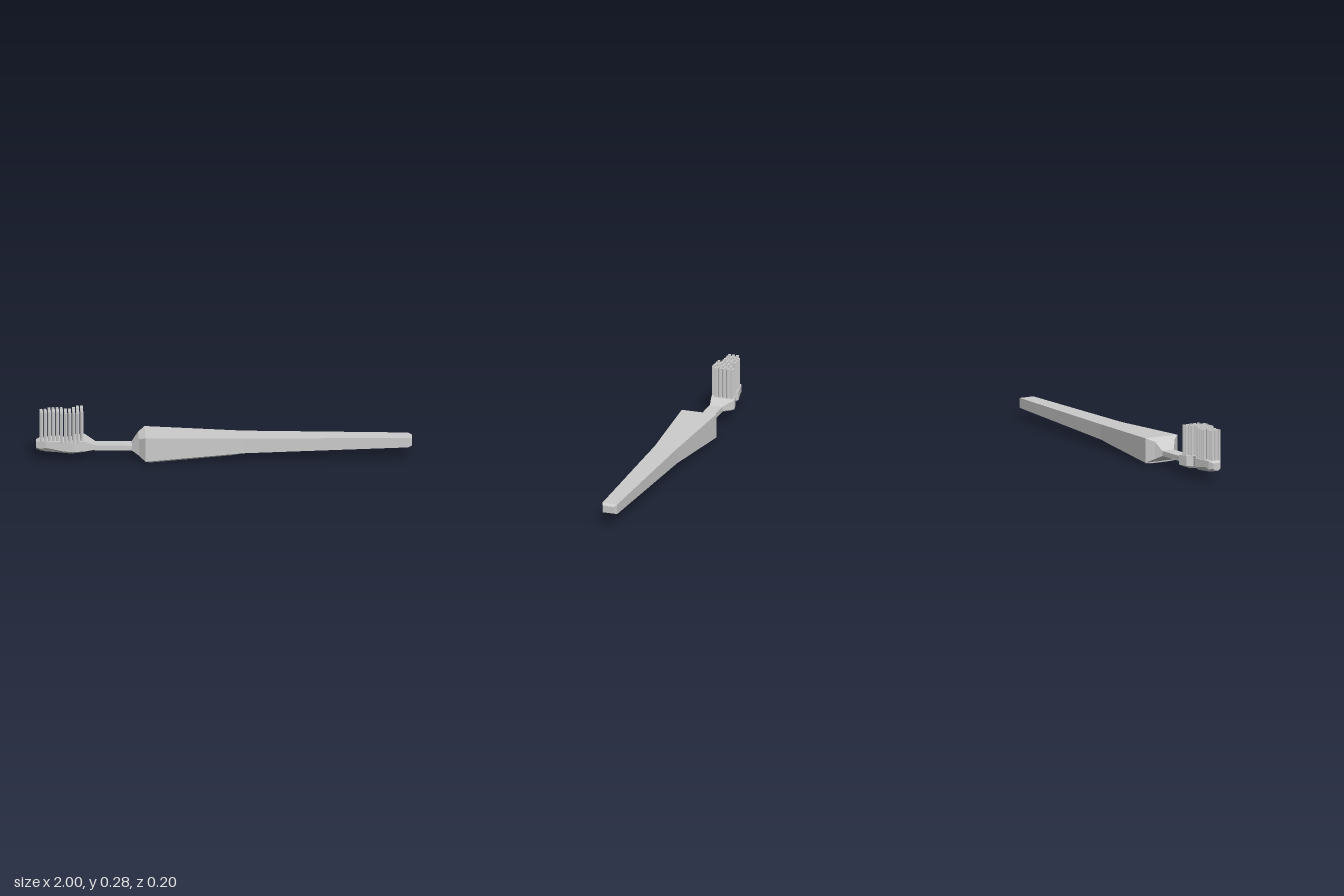
import * as THREE from 'three';

const material = new THREE.MeshStandardMaterial({ color: 0xcccccc, flatShading: true });

// Skins cross-sections placed along x; each is { x, ring: [[y, z], ...] } and both ends are capped.
function loft(name, sections) {
  const pos = [];
  const point = (s, j) => {
    const [y, z] = s.ring[j % s.ring.length];
    return [s.x, y, z];
  };
  const tri = (a, b, c) => pos.push(...a, ...b, ...c);
  const n = sections[0].ring.length;
  for (let i = 0; i < sections.length - 1; i++) {
    const s = sections[i], t = sections[i + 1];
    for (let j = 0; j < n; j++) {
      tri(point(s, j), point(s, j + 1), point(t, j + 1));
      tri(point(s, j), point(t, j + 1), point(t, j));
    }
  }
  const first = sections[0], last = sections[sections.length - 1];
  for (let j = 1; j < n - 1; j++) {
    tri(point(first, 0), point(first, j + 1), point(first, j));
    tri(point(last, 0), point(last, j), point(last, j + 1));
  }
  const geometry = new THREE.BufferGeometry();
  geometry.setAttribute('position', new THREE.Float32BufferAttribute(pos, 3));
  geometry.computeVertexNormals();
  const mesh = new THREE.Mesh(geometry, material);
  mesh.name = name;
  return mesh;
}

// Rectangular section: half width, top and bottom
const rect = ([x, w, top, bottom]) => ({
  x, ring: [[top, -w], [top, w], [bottom, w], [bottom, -w]],
});

// Head stations: x, back z, front z, top y, side bottom y, underside y
const HEAD = [
  [-1.0, -0.025, 0.02, 0.105, 0.075, 0.065],
  [-0.975, -0.04, 0.03, 0.115, 0.07, 0.056],
  [-0.95, -0.045, 0.042, 0.115, 0.08, 0.054],
  [-0.87, -0.06, 0.053, 0.115, 0.065, 0.049],
  [-0.855, -0.038, 0.055, 0.115, 0.063, 0.048],
  [-0.81, -0.035, 0.06, 0.115, 0.06, 0.046],
  [-0.795, -0.07, 0.06, 0.115, 0.06, 0.045],
  [-0.74, -0.083, 0.047, 0.113, 0.06, 0.048],
  [-0.685, -0.037, 0.035, 0.089, 0.064, 0.059],
];

// Head outline at x, as [back z, front z]
function headEdges(x) {
  const i = Math.max(1, HEAD.findIndex((h) => h[0] >= x));
  const a = HEAD[i - 1], b = HEAD[i];
  const t = (x - a[0]) / (b[0] - a[0]);
  return [1, 2].map((k) => a[k] + (b[k] - a[k]) * t);
}

function makeBristles() {
  const group = new THREE.Group();
  group.name = 'bristles';
  const bottom = 0.105, top = 0.277;
  const geometry = new THREE.CylinderGeometry(0.009, 0.009, top - bottom, 6);
  for (let col = 0; col < 11; col++) {
    const x = -0.972 + col * 0.0215;
    const [back, front] = headEdges(x);
    for (let row = 0; row < 6; row++) {
      const z = 0.049 - row * 0.022;
      if (z < back + 0.008 || z > front - 0.004) continue;
      const bristle = new THREE.Mesh(geometry, material);
      bristle.name = 'bristle';
      bristle.position.set(x, (top + bottom) / 2, z);
      group.add(bristle);
    }
  }
  return group;
}

export function createModel() {
  const model = new THREE.Group();
  model.name = 'toothbrush';

  // Head with a notch in the back edge and a narrowed underside
  model.add(loft('head', HEAD.map(([x, back, front, top, side, under]) => {
    const mid = (back + front) / 2, inset = 0.6;
    return {
      x, ring: [
        [top, back], [top, front], [side, front],
        [under, mid + (front - mid) * inset], [under, mid + (back - mid) * inset],
        [side, back],
      ],
    };
  })));

  model.add(makeBristles());

  // Slim neck
  model.add(loft('neck', [
    [-0.69, 0.036, 0.089, 0.061],
    [-0.485, 0.036, 0.084, 0.057],
  ].map(rect)));

  // Handle, flaring from the neck and tapering to a bevelled end
  model.add(loft('handle', [
    [-0.49, 0.036, 0.085, 0.057],
    [-0.455, 0.06, 0.13, 0.037],
    [-0.42, 0.098, 0.147, 0.015],
    [0.1, 0.063, 0.128, 0.045],
    [0.98, 0.042, 0.115, 0.061],
    [1.0, 0.032, 0.107, 0.069],
  ].map(rect)));

  // Thumb pad under the handle: x, rim half width, rim y, shoulder half width and y, base half width and y
  model.add(loft('gripPad', [
    [-0.42, 0.098, 0.016, 0.088, 0.011, 0.05, 0.009],
    [-0.39, 0.096, 0.017, 0.076, 0.003, 0.04, 0],
    [0.05, 0.066, 0.043, 0.05, 0.031, 0.03, 0.028],
    [0.1, 0.063, 0.046, 0.06, 0.045, 0.03, 0.045],
  ].map(([x, w, y, w1, y1, w2, y2]) => ({
    x, ring: [[y, -w], [y, w], [y1, w1], [y2, w2], [y2, -w2], [y1, -w1]],
  }))));

  return model;
}
